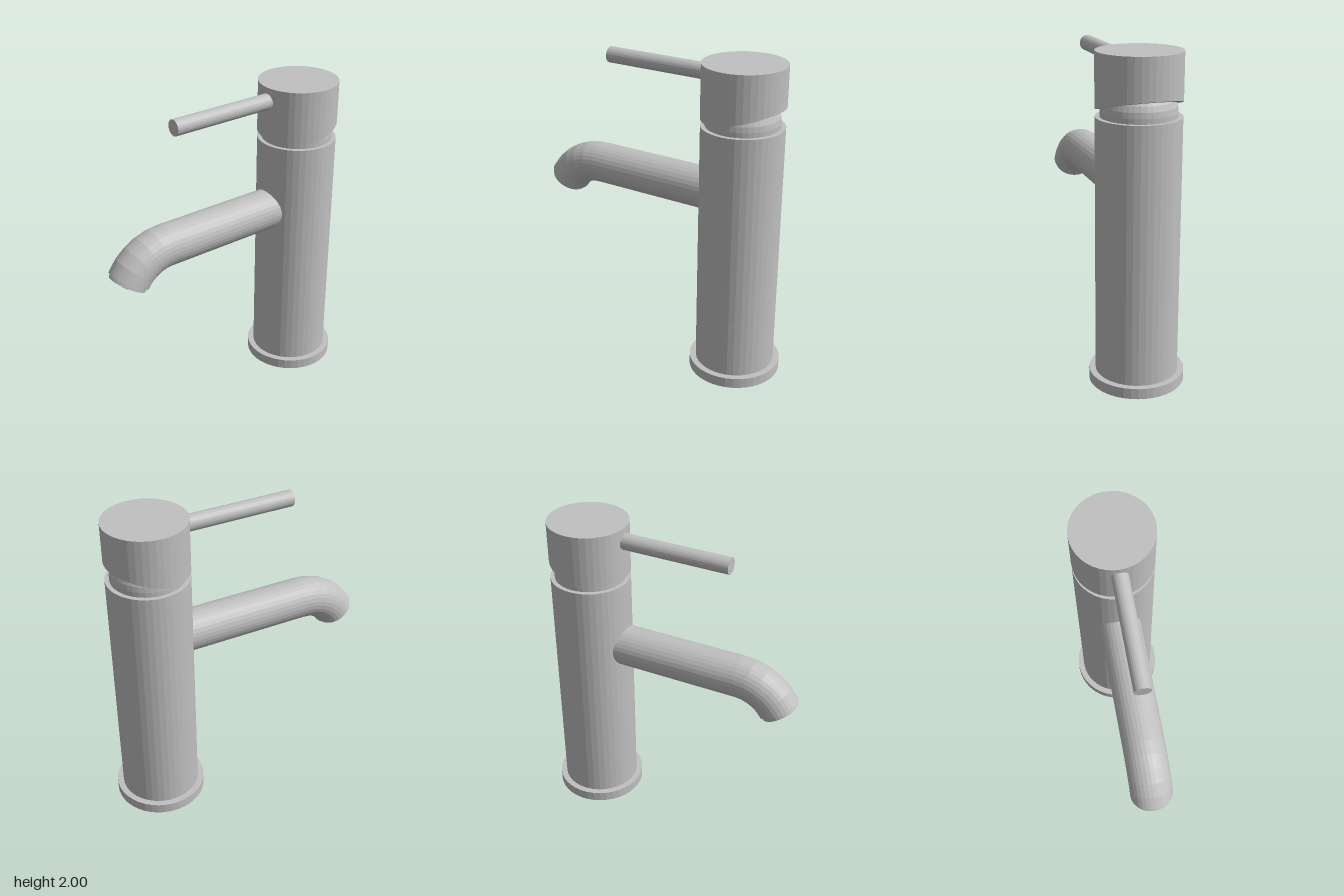
import * as THREE from 'three';

const SIDES = 40;
const BODY_Z = -0.555;

export function createModel() {
  const group = new THREE.Group();
  const metal = new THREE.MeshStandardMaterial({ color: 0xc0c0c0, flatShading: true });
  metal.name = 'brushed metal';

  function add(name, geometry, x = 0, y = 0, z = 0) {
    const mesh = new THREE.Mesh(geometry, metal);
    mesh.name = name;
    mesh.position.set(x, y, z);
    group.add(mesh);
    return mesh;
  }
  // upright cylinder between two heights on the body axis
  function column(name, r, y0, y1) {
    return add(name, new THREE.CylinderGeometry(r, r, y1 - y0, SIDES), 0, (y0 + y1) / 2, BODY_Z);
  }
  // rod lying along z
  function rod(name, r, y, z0, z1, sides, open) {
    const g = new THREE.CylinderGeometry(r, r, z1 - z0, sides, 1, open).rotateX(Math.PI / 2);
    return add(name, g, 0, y, (z0 + z1) / 2);
  }
  const lathe = (pts, sides) =>
    new THREE.LatheGeometry(pts.map(([r, y]) => new THREE.Vector2(r, y)), sides);

  column('baseFlange', 0.288, 0, 0.066);
  column('body', 0.249, 0.066, 1.63);

  // rounded cartridge neck under the handle cap
  const dome = [[0.222, 1.63], [0.222, 1.66]];
  for (let i = 1; i <= 8; i++) {
    const a = (i / 8) * Math.PI / 2;
    dome.push([0.222 * Math.cos(a), 1.66 + 0.17 * Math.sin(a)]);
  }
  add('neckDome', lathe(dome, SIDES), 0, 0, BODY_Z);

  // handle cap: underside flat at the front, sloping up towards the back
  const capBottom = 1.67, crease = 0.065, slope = 0.275;
  const cap = new THREE.CylinderGeometry(0.25, 0.25, 2 - capBottom, SIDES);
  cap.translate(0, (2 + capBottom) / 2, 0);
  const p = cap.attributes.position;
  for (let i = 0; i < p.count; i++) {
    if (p.getY(i) > capBottom + 0.01) continue;
    if (Math.hypot(p.getX(i), p.getZ(i)) < 0.01) p.setZ(i, crease);
    p.setY(i, capBottom + Math.max(0, crease - p.getZ(i)) * slope);
  }
  add('handleCap', cap, 0, 0, BODY_Z);

  rod('handleLever', 0.05, 1.912, -0.4, 0.38, 24, false);

  // spout: straight pipe followed by a downward bend
  const pipeR = 0.13, pipeY = 1.18, bendZ = 0.47, bendR = 0.304;
  const bendAngle = THREE.MathUtils.degToRad(59);
  rod('spoutPipe', pipeR, pipeY, -0.5, bendZ, 32, true);
  const bend = new THREE.TorusGeometry(bendR, pipeR, 32, 5, bendAngle);
  bend.applyMatrix4(new THREE.Matrix4().makeBasis(
    new THREE.Vector3(0, 1, 0), new THREE.Vector3(0, 0, 1), new THREE.Vector3(1, 0, 0)));
  add('spoutBend', bend, 0, pipeY - bendR, bendZ);

  // nozzle: end face, narrow collar and bulging aerator
  const nozzle = lathe([[0.13, 0], [0.118, 0], [0.118, 0.025], [0.1, 0.025], [0.1, 0.012],
    [0.088, 0.016], [0.068, 0.035], [0.04, 0.046], [0, 0.05]], 32);
  const tip = add('nozzle', nozzle, 0,
    pipeY - bendR + bendR * Math.cos(bendAngle), bendZ + bendR * Math.sin(bendAngle));
  tip.rotation.x = Math.PI / 2 + bendAngle;

  return group;
}
